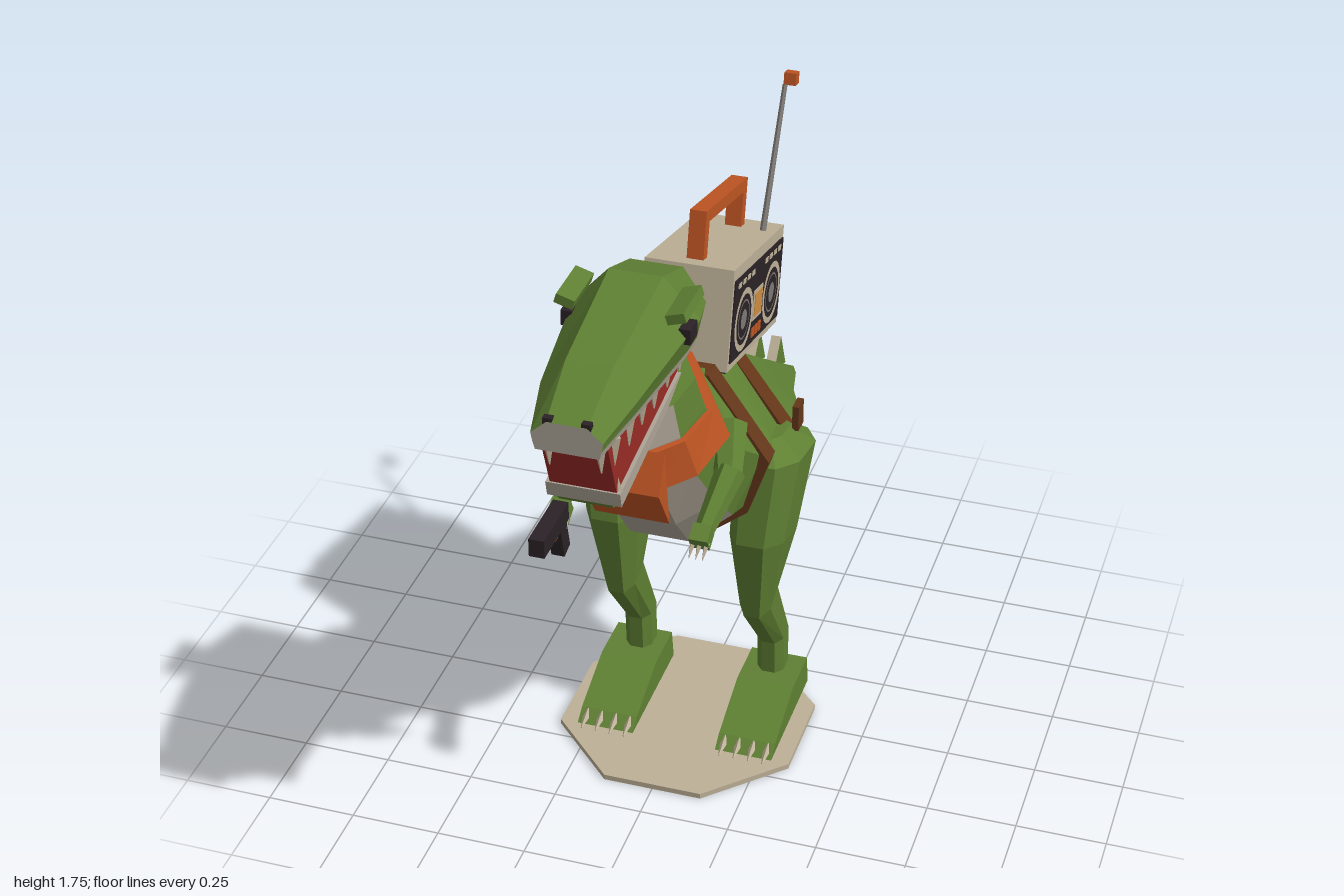
import * as THREE from 'three';

const mat = (name, color, side = THREE.FrontSide) => {
  const m = new THREE.MeshStandardMaterial({ color, flatShading: true, side });
  m.name = name;
  return m;
};
const V = (x, y, z) => new THREE.Vector3(x, y, z);

export function createModel() {
  const green = mat('skin green', 0x5f8033);
  const pale = mat('belly grey', 0xada496);
  const cream = mat('cream', 0xbdb097);
  const orange = mat('orange', 0xbd5423);
  const red = mat('mouth red', 0x982b25);
  const brown = mat('strap brown', 0x643619);
  const dark = mat('near black', 0x2b2226);
  const metal = mat('metal grey', 0x7c7874);
  const amber = mat('amber', 0xcd8b40);

  const root = new THREE.Group();
  root.name = 'dinosaurWithRadio';

  const add = (name, geo, material, pos = [0, 0, 0], rot = [0, 0, 0], parent = root) => {
    const m = new THREE.Mesh(geo, material);
    m.name = name;
    m.position.set(...pos);
    m.rotation.set(...rot);
    parent.add(m);
    return m;
  };
  const box = (name, size, material, pos, rot, parent) =>
    add(name, new THREE.BoxGeometry(...size), material, pos, rot, parent);

  // Skin over rings of points; pick(column) and caps choose material slots.
  const loft = (name, rings, mats, pick = () => 0, caps = [0, 0]) => {
    const buckets = mats.map(() => []);
    const n = rings[0].length;
    for (let i = 0; i < rings.length - 1; i++) {
      for (let j = 0; j < n; j++) {
        const k = (j + 1) % n, a = rings[i], b = rings[i + 1];
        buckets[pick(j, i)].push([a[j], a[k], b[k]], [a[j], b[k], b[j]]);
      }
    }
    const end = rings[rings.length - 1];
    for (let j = 1; j < n - 1; j++) {
      buckets[caps[0]].push([rings[0][0], rings[0][j + 1], rings[0][j]]);
      buckets[caps[1]].push([end[0], end[j], end[j + 1]]);
    }
    // Turn all faces outward using the signed volume
    let volume = 0;
    for (const [a, b, c] of buckets.flat()) volume += a.dot(b.clone().cross(c));
    const geo = new THREE.BufferGeometry();
    const pts = [];
    buckets.forEach((tris, m) => {
      geo.addGroup(pts.length, tris.length * 3, m);
      for (const [a, b, c] of tris) pts.push(...(volume < 0 ? [a, c, b] : [a, b, c]));
    });
    geo.setFromPoints(pts);
    geo.computeVertexNormals();
    return add(name, geo, mats);
  };

  // Tapered rod between two points
  const limb = (name, a, b, r1, r2, sides, material) => {
    const dir = b.clone().sub(a);
    const m = add(name, new THREE.CylinderGeometry(r2, r1, dir.length(), sides), material);
    m.position.copy(a).addScaledVector(dir, 0.5);
    m.quaternion.setFromUnitVectors(V(0, 1, 0), dir.normalize());
    return m;
  };

  // Side outline in (z, y), extruded across x
  const sidePlate = (name, pts, width, material) => {
    const shape = new THREE.Shape(pts.map(([z, y]) => new THREE.Vector2(-z, y)));
    const geo = new THREE.ExtrudeGeometry(shape, { depth: width, bevelEnabled: false });
    geo.translate(0, 0, -width / 2);
    return add(name, geo, material, [0, 0, 0], [0, Math.PI / 2, 0]);
  };

  // Base
  add('base', new THREE.CylinderGeometry(0.366, 0.366, 0.016, 8), cream, [0, 0.008, 0.06], [0, Math.PI / 8, 0]);

  // Torso, neck and tail: [topZ, topY, bottomZ, bottomY, halfWidth]
  const bodyRing = ([tz, ty, bz, by, w]) => {
    const p = (x, t) => V(x * w, by + (ty - by) * t, bz + (tz - bz) * t);
    return [p(0.35, 1), p(1, 0.52), p(0.78, 0.18), p(0.35, 0), p(-0.35, 0), p(-0.78, 0.18), p(-1, 0.52), p(-0.35, 1)];
  };
  const bodyRows = [
    [0.30, 1.43, 0.56, 1.34, 0.135], [0.26, 1.34, 0.56, 1.24, 0.155], [0.20, 1.27, 0.515, 1.10, 0.18],
    [0.09, 1.21, 0.41, 0.92, 0.22], [0.00, 1.185, 0.31, 0.80, 0.235], [-0.05, 1.165, 0.16, 0.75, 0.245],
    [-0.12, 1.14, -0.10, 0.68, 0.235], [-0.42, 0.94, -0.40, 0.63, 0.185], [-0.72, 0.743, -0.70, 0.575, 0.085],
    [-1.00, 0.56, -0.99, 0.52, 0.014]];
  loft('body', bodyRows.map(bodyRing), [green, pale], j => (j >= 2 && j <= 4 ? 1 : 0));

  // Neckerchief band and its folded front
  loft('neckerchief', [[0.215, 1.33, 0.575, 1.235, 0.172], [0.185, 1.265, 0.565, 1.12, 0.21]].map(bodyRing), [orange]);
  sidePlate('neckerchiefFront', [[0.57, 1.245], [0.62, 1.145], [0.535, 1.01]], 0.2, orange);

  // Skull: [z, topHalf, topY, sideHalf, sideY, bottomHalf, bottomY]
  const headRows = [[1.0, 0.05, 1.575, 0.09, 1.54, 0.08, 1.495], [0.83, 0.06, 1.645, 0.125, 1.57, 0.105, 1.5],
    [0.48, 0.07, 1.7, 0.165, 1.595, 0.125, 1.475], [0.32, 0.07, 1.64, 0.13, 1.55, 0.1, 1.42]];
  loft('skull', headRows.map(([z, a, ya, w, yw, b, yb]) => {
    const half = [[a, ya], [w, yw], [b + 0.006, yb + 0.022], [b, yb]];
    return [...half.map(([x, y]) => V(x, y, z)), ...half.reverse().map(([x, y]) => V(-x, y, z))];
  }), [green, pale], j => (j >= 2 && j <= 4 ? 1 : 0), [1, 0]);

  // Mouth and lower jaw
  sidePlate('mouth', [[0.955, 1.5], [0.42, 1.48], [0.42, 1.37], [0.89, 1.32]], 0.17, red);
  sidePlate('lowerJaw', [[0.9, 1.335], [0.42, 1.395], [0.42, 1.37], [0.89, 1.292]], 0.19, pale);
  sidePlate('chin', [[0.89, 1.295], [0.42, 1.373], [0.42, 1.355], [0.875, 1.275]], 0.14, green);

  // Spines along the tail
  for (const z of [-0.385, -0.585, -0.81]) {
    const y = 1.147 + (z + 0.11) * 0.663;
    sidePlate('tailSpine', [[z + 0.06, y + 0.02], [z - 0.005, y + 0.09], [z - 0.058, y - 0.03]], 0.03, [green, cream]);
  }

  // Straps round the torso: [z, topY, bottomY, halfWidth]
  for (const [z, top, low, w] of [[0.14, 1.235, 0.735, 0.258], [-0.09, 1.155, 0.665, 0.262]]) {
    const strap = [z + 0.03, z - 0.03].map(q => bodyRing([q, top, q, low, w]));
    loft('strap', strap, [brown]);
  }

  for (const s of [1, -1]) {
    // Legs: [frontZ, frontY, backZ, backY, outerX, innerX]
    const legRows = [[0.05, 0.99, -0.1, 0.96, 0.25, 0.17], [0.13, 0.95, -0.2, 0.88, 0.31, 0.13],
      [0.165, 0.71, -0.11, 0.64, 0.283, 0.13], [0.105, 0.43, -0.04, 0.48, 0.242, 0.153],
      [-0.065, 0.22, -0.165, 0.24, 0.238, 0.16], [-0.075, 0.07, -0.17, 0.07, 0.238, 0.16]];
    const oct = [[1, 0.5], [0.5, 1], [-0.5, 1], [-1, 0.5], [-1, -0.5], [-0.5, -1], [0.5, -1], [1, -0.5]];
    loft('leg', legRows.map(([fz, fy, bz, by, o, i]) => oct.map(([u, v]) => V(
      s * ((o + i) / 2 + v * (o - i) / 2), (fy + by) / 2 + u * (fy - by) / 2, (fz + bz) / 2 + u * (fz - bz) / 2))),
    [green, pale], (j, i) => (j === 4 && i < 4 ? 1 : 0));

    // Foot and claws
    const foot = sidePlate('foot', [[0.2, 0.016], [0.16, 0.045], [-0.02, 0.11], [-0.17, 0.11], [-0.185, 0.016]], 0.165, green);
    foot.position.x = s * 0.205;
    for (const k of [-1.5, -0.5, 0.5, 1.5]) {
      const x = s * 0.205 + k * 0.042;
      limb('footClaw', V(x, 0.032, 0.16), V(x, 0.02, 0.225), 0.014, 0.002, 4, cream);
    }

    // Arm, hand and fingers' claws
    limb('upperArm', V(s * 0.18, 1.17, 0.28), V(s * 0.215, 1.08, 0.4), 0.05, 0.036, 6, green);
    limb('forearm', V(s * 0.217, 1.1, 0.385), V(s * 0.19, 1.0, 0.54), 0.04, 0.025, 6, green);
    box('hand', [0.05, 0.045, 0.05], green, [s * 0.19, 1.0, 0.55], [0.5, 0, 0]);
    for (const k of [-1, 0, 1]) {
      limb('handClaw', V(s * 0.19 + k * 0.018, 0.99, 0.56), V(s * 0.185 + k * 0.018, 0.95, 0.585), 0.01, 0.001, 4, cream);
    }

    // Strap buckle
    box('buckle', [0.018, 0.075, 0.05], s > 0 ? brown : cream, [s * 0.265, 0.99, -0.09]);

    // Eye, brow and nostril
    box('eye', [0.03, 0.042, 0.055], dark, [s * 0.152, 1.592, 0.54]);
    box('brow', [0.05, 0.026, 0.145], green, [s * 0.142, 1.663, 0.535], [0, 0, s * 0.3]);
    box('nostril', [0.024, 0.018, 0.018], dark, [s * 0.048, 1.576, 0.99]);

    // Teeth, upper row then lower row
    [0.91, 0.81, 0.72, 0.635, 0.54, 0.45].forEach((z, i) => {
      const x = s * (0.084 + 0.003 * i);
      limb('upperTooth', V(x, 1.505, z), V(x, 1.42 - 0.005 * (i % 2), z - 0.005), 0.019, 0.002, 4, cream);
    });
    limb('frontTooth', V(s * 0.065, 1.51, 0.955), V(s * 0.065, 1.42, 0.945), 0.018, 0.002, 4, cream);
    limb('lowerTooth', V(s * 0.082, 1.33, 0.88), V(s * 0.082, 1.38, 0.885), 0.014, 0.002, 4, cream);
  }

  // Toy blaster in one hand
  box('blasterBarrel', [0.042, 0.052, 0.185], dark, [-0.183, 1.015, 0.655]);
  box('blasterGrip', [0.036, 0.1, 0.045], dark, [-0.183, 0.945, 0.585], [0.25, 0, 0]);
  box('blasterTrigger', [0.018, 0.025, 0.02], orange, [-0.183, 0.975, 0.625]);

  // Portable radio on the back
  const radio = new THREE.Group();
  radio.name = 'radio';
  radio.position.set(0, 1.293, -0.16);
  radio.rotation.x = -0.235;
  root.add(radio);
  box('radioCase', [0.245, 0.28, 0.488], cream, [0, 0, 0], [0, 0, 0], radio);
  box('radioUnderside', [0.235, 0.008, 0.478], dark, [0, -0.141, 0], [0, 0, 0], radio);
  box('handleBar', [0.046, 0.034, 0.39], orange, [0, 0.255, 0], [0, 0, 0], radio);
  for (const s of [1, -1]) {
    box('handlePost', [0.046, 0.12, 0.034], orange, [0, 0.19, s * 0.178], [0, 0, 0], radio);

    // Speaker face
    const face = new THREE.Group();
    face.name = 'speakerFace';
    face.position.x = s * 0.123;
    face.rotation.y = s * Math.PI / 2;
    radio.add(face);
    const plate = (name, w, h, m, x, y, z) => box(name, [w, h, 0.004], m, [x, y, z], [0, 0, 0], face);
    plate('panel', 0.468, 0.226, dark, 0, -0.005, 0.002);
    for (const k of [1, -1]) {
      const x = k * 0.135;
      add('speakerRing', new THREE.RingGeometry(0.07, 0.087, 20), cream, [x, -0.022, 0.006], [0, 0, 0], face);
      add('speakerCone', new THREE.RingGeometry(0.05, 0.055, 20), metal, [x, -0.022, 0.006], [0, 0, 0], face);
      add('speakerHub', new THREE.CircleGeometry(0.028, 12), metal, [x, -0.022, 0.006], [0, 0, 0], face);
      for (let i = 0; i < 4; i++) plate('knob', 0.026, 0.014, cream, k * (0.065 + i * 0.043), 0.088, 0.004);
    }
    plate('displayFrame', 0.088, 0.085, cream, 0, -0.012, 0.004);
    plate('display', 0.07, 0.064, amber, 0, -0.012, 0.006);
    for (const k of [-1, 0, 1]) plate('button', 0.024, 0.026, orange, k * 0.032, -0.088, 0.005);
  }

  // Aerial with tip
  limb('aerial', V(0.085, 1.38, -0.345), V(0.085, 1.735, -0.55), 0.009, 0.007, 6, metal);
  box('aerialTip', [0.034, 0.034, 0.034], orange, [0.085, 1.725, -0.615], [-0.2, 0, 0]);

  return root;
}
